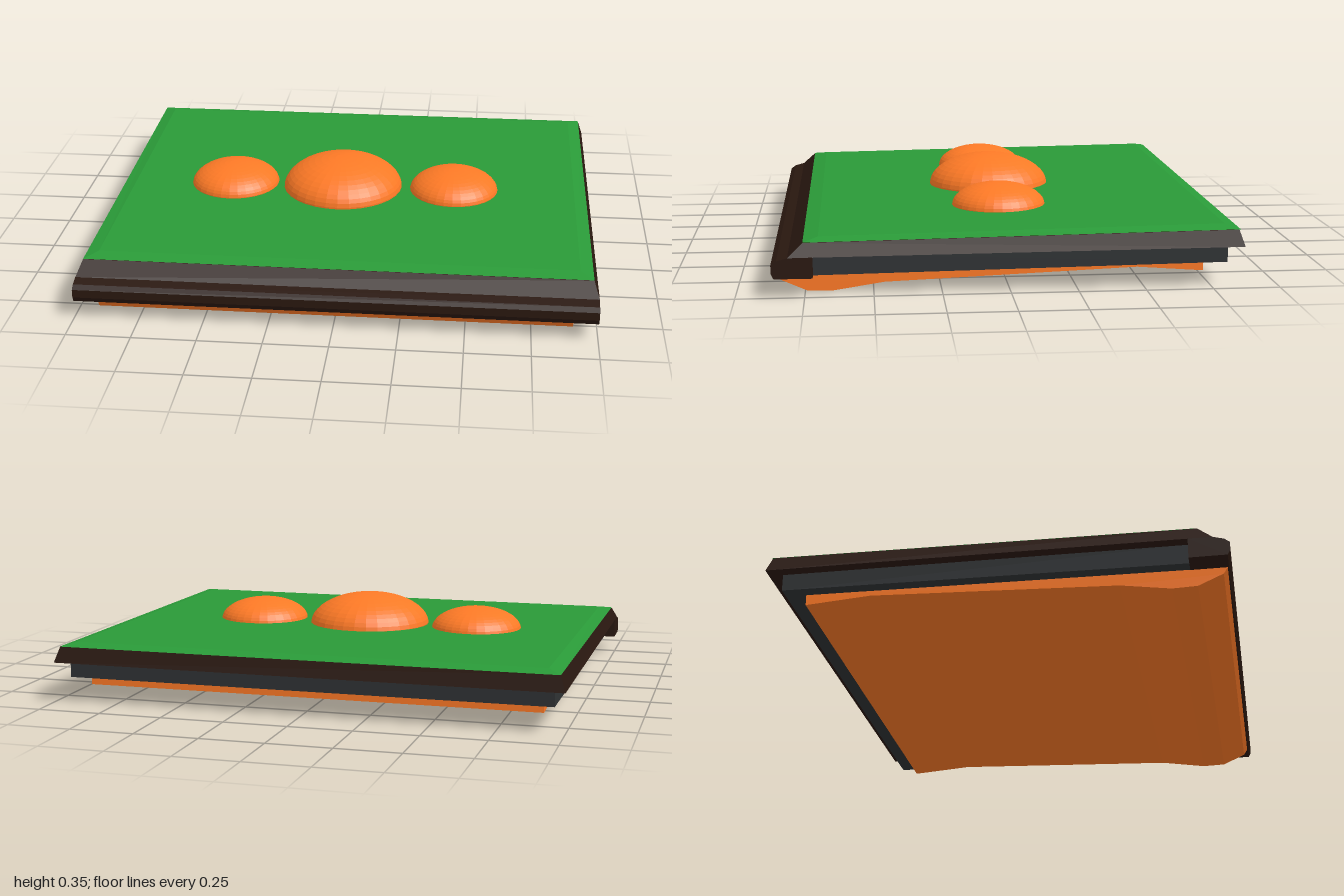
import * as THREE from 'three';

const mat = (color) => new THREE.MeshStandardMaterial({ color, flatShading: true, roughness: 0.8 });
const green = mat(0x2a9a38), orange = mat(0xff7a26), dark = mat(0x2a1810), grey = mat(0x303335);

// Runs a side profile of [z, y, halfWidth] points across the model along x.
function crossBar(name, points, material) {
  const shape = new THREE.Shape(points.map(([z, y]) => new THREE.Vector2(-z, y)));
  const geo = new THREE.ExtrudeGeometry(shape, { depth: 2, bevelEnabled: false });
  geo.rotateY(Math.PI / 2).translate(-1, 0, 0);
  const p = geo.attributes.position;
  for (let i = 0; i < p.count; i++) {
    const near = points.find(([z, y]) => Math.hypot(z - p.getZ(i), y - p.getY(i)) < 1e-4);
    p.setX(i, Math.sign(p.getX(i)) * near[2]);
  }
  geo.computeVertexNormals();
  const mesh = new THREE.Mesh(geo, material);
  mesh.name = name;
  return mesh;
}

// Squashed half sphere, sunk slightly into the top panel.
function dome(name, x, radius, height) {
  const geo = new THREE.SphereGeometry(1, 32, 14, 0, Math.PI * 2, 0, Math.PI * 0.56);
  geo.scale(radius, height, radius);
  const mesh = new THREE.Mesh(geo, orange);
  mesh.name = name;
  mesh.position.set(x, 0.215, -0.005);
  return mesh;
}

export function createModel() {
  const model = new THREE.Group();
  model.name = 'domedPanel';

  // Tray: bevelled slab and thick front lip
  model.add(crossBar('traySlab', [
    [0.81, 0.147, 1], [0.755, 0.198, 0.98], [-0.845, 0.217, 0.98], [-0.865, 0.156, 1],
  ], dark));
  model.add(crossBar('frontLip', [
    [0.72, 0.07, 1], [0.86, 0.07, 1], [0.87, 0.09, 1], [0.87, 0.122, 1],
    [0.85, 0.136, 1], [0.81, 0.147, 1], [0.72, 0.148, 1],
  ], dark));

  // Bevelled top panel
  model.add(crossBar('topPanel', [
    [0.755, 0.199, 0.98], [0.7, 0.21, 0.93], [-0.8, 0.231, 0.93], [-0.85, 0.218, 0.98],
  ], green));

  // Inset body under the tray
  model.add(crossBar('innerBody', [
    [0.72, 0.071, 0.955], [0.72, 0.149, 0.955], [-0.81, 0.158, 0.955], [-0.81, 0.09, 0.955],
  ], grey));

  // Curved base plate
  model.add(crossBar('basePlate', [
    [0.857, 0.072, 0.905], [0.84, 0.045, 0.905], [0.745, 0.003, 0.905], [0.65, 0, 0.905],
    [0.46, 0.029, 0.905], [-0.48, 0.066, 0.905], [-0.73, 0.047, 0.905], [-0.73, 0.093, 0.905],
  ], orange));

  // Row of domes
  model.add(dome('centreDome', -0.045, 0.25, 0.131));
  model.add(dome('rightDome', -0.505, 0.185, 0.091));
  model.add(dome('leftDome', 0.425, 0.185, 0.091));
  return model;
}
